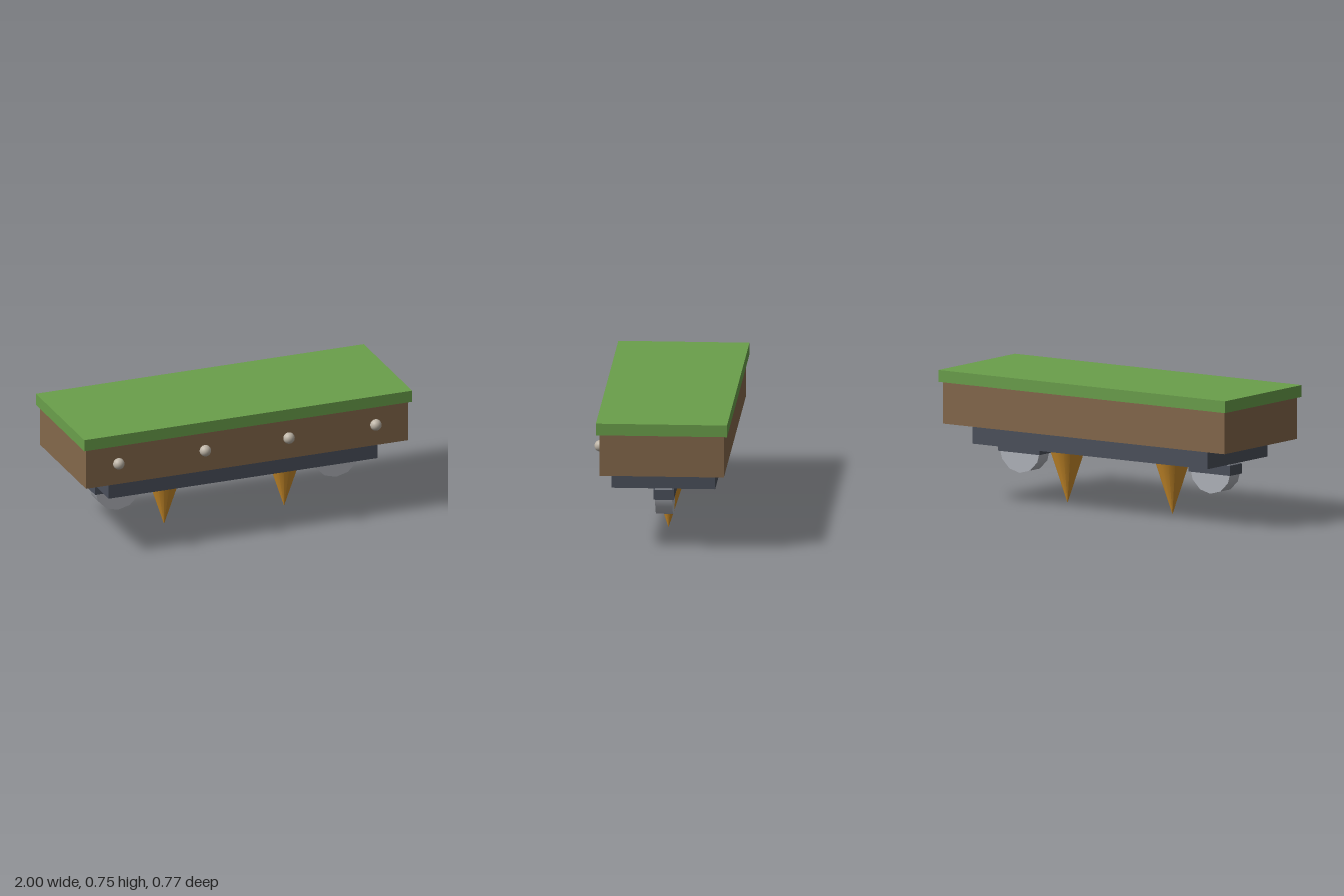
import * as THREE from 'three';

const Z = -0.01; // depth centre of the platform

export function createModel() {
  const group = new THREE.Group();
  const mat = (name, color) => {
    const m = new THREE.MeshStandardMaterial({ color });
    m.name = name;
    return m;
  };
  const grass = mat('grass green', 0x6a9f4b);
  const soil = mat('soil brown', 0x84684b);
  const slate = mat('dark slate', 0x4b505b);
  const steel = mat('light steel', 0xb0b3ba);
  const amber = mat('amber', 0xd0902c);
  const stone = mat('warm stone', 0xbdb4a6);

  const add = (name, geometry, material, x, y, z) => {
    const mesh = new THREE.Mesh(geometry, material);
    mesh.name = name;
    mesh.position.set(x, y, z);
    group.add(mesh);
    return mesh;
  };
  // Box spanning y0 to y1
  const slab = (name, material, w, y0, y1, d, x = 0) =>
    add(name, new THREE.BoxGeometry(w, y1 - y0, d), material, x, (y0 + y1) / 2, Z);

  // Stacked platform
  slab('grassTop', grass, 2, 0.684, 0.752, 0.745);
  slab('soilBody', soil, 1.964, 0.444, 0.684, 0.707);
  slab('underPlate', slate, 1.64, 0.336, 0.444, 0.588);

  // Studs along the front
  const stud = new THREE.SphereGeometry(0.033, 20, 14);
  for (const x of [-0.785, -0.257, 0.253, 0.783]) add('frontStud', stud, stone, x, 0.571, 0.351);

  // Spikes and half-sunken wheels, mirrored left and right
  const spike = new THREE.ConeGeometry(0.11, 0.336, 16);
  const wheel = new THREE.CylinderGeometry(0.142, 0.142, 0.097, 12).rotateX(Math.PI / 2);
  for (const s of [-1, 1]) {
    add('spike', spike, amber, s * 0.366, 0.168, Z).rotation.x = Math.PI;
    add('wheel', wheel, steel, s * 0.665, 0.293, Z);
    slab('wheelBracket', slate, 0.289, 0.267, 0.325, 0.117, s * 0.665);
  }
  return group;
}
